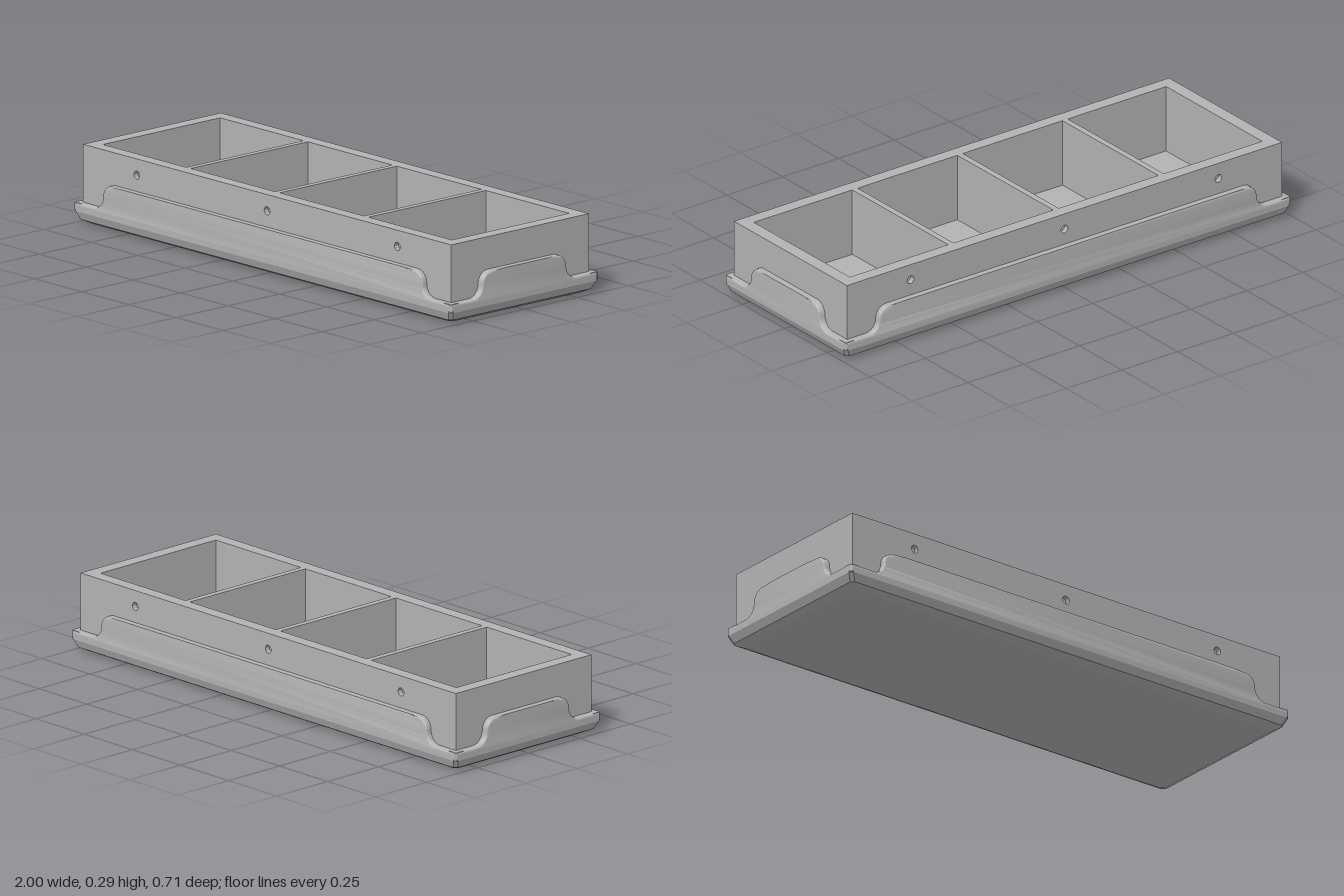
import * as THREE from 'three';
import { toCreasedNormals } from 'three/addons/utils/BufferGeometryUtils.js';

const HX = 1.0, HZ = 0.357;      // half size of the base
const BX = 0.975, BZ = 0.333;    // half size of the box
const TOP = 0.29, FLOOR = 0.035;

function rectPath(Type, x0, y0, x1, y1) {
  const p = new Type();
  p.moveTo(x0, y0);
  p.lineTo(x1, y0);
  p.lineTo(x1, y1);
  p.lineTo(x0, y1);
  p.closePath();
  return p;
}

// Stacked rectangular rings [halfX, y, halfZ] with cut corners
function loft(rings) {
  const pos = [];
  const loop = ([hx, y, hz]) => {
    const c = Math.min(0.012, hx);
    return [
      [hx, y, -hz + c], [hx, y, hz - c], [hx - c, y, hz], [-hx + c, y, hz],
      [-hx, y, hz - c], [-hx, y, -hz + c], [-hx + c, y, -hz], [hx - c, y, -hz],
    ];
  };
  const loops = rings.map(loop);
  for (let i = 0; i < loops.length - 1; i++) {
    for (let j = 0; j < 8; j++) {
      const k = (j + 1) % 8;
      const a = loops[i][j], b = loops[i][k], c = loops[i + 1][j], d = loops[i + 1][k];
      if (rings[i][0] > 0) pos.push(...a, ...c, ...b);
      if (rings[i + 1][0] > 0) pos.push(...b, ...c, ...d);
    }
  }
  const g = new THREE.BufferGeometry();
  g.setAttribute('position', new THREE.Float32BufferAttribute(pos, 3));
  g.computeVertexNormals();
  return g;
}

// Skirt panel: low at the ends, rising in an S-curve to a high middle
function skirtGeometry(half, face) {
  const low = 0.077, high = 0.17, r = (high - low) / 2, b = 0.008, depth = 0.03;
  const h = half - 0.003, xl = half - 0.107, xh = xl - 2 * r, flat = half - 0.25;
  const s = new THREE.Shape();
  s.moveTo(-h, 0.045);
  s.lineTo(h, 0.045);
  s.lineTo(h, low);
  s.lineTo(xl, low);
  s.absarc(xl, low + r, r, -Math.PI / 2, -Math.PI, true);
  s.absarc(xh, low + r, r, 0, Math.PI / 2, false);
  s.lineTo(flat, high);
  s.lineTo(-flat, high);
  s.lineTo(-xh, high);
  s.absarc(-xh, low + r, r, Math.PI / 2, Math.PI, false);
  s.absarc(-xl, low + r, r, 0, -Math.PI / 2, true);
  s.lineTo(-h, low);
  s.closePath();
  const g = new THREE.ExtrudeGeometry(s, {
    depth, bevelEnabled: true, bevelThickness: b, bevelSize: b, bevelOffset: -b,
    bevelSegments: 4, curveSegments: 10,
  });
  // the middle of the top edge stays sharp
  const p = g.attributes.position;
  for (let i = 0; i < p.count; i++) {
    if (Math.abs(p.getX(i)) < flat + 0.01 && p.getY(i) > 0.15) p.setY(i, high);
  }
  g.translate(0, 0, face - b - depth);
  return toCreasedNormals(g, 0.6);
}

export function createModel() {
  const group = new THREE.Group();
  const grey = new THREE.MeshStandardMaterial({ color: 0xb3b3b3 });
  grey.name = 'plain grey';
  const add = (name, geometry) => {
    const m = new THREE.Mesh(geometry, grey);
    m.name = name;
    group.add(m);
    return m;
  };

  // chamfered base with the compartment floor
  add('base', loft([
    [0, 0, 0], [0.955, 0, 0.315], [0.985, 0.015, 0.345], [HX, 0.045, HZ],
    [HX, 0.066, HZ], [HX - 0.006, 0.073, HZ - 0.006], [BX - 0.005, 0.073, BZ - 0.005],
    [BX - 0.01, FLOOR, BZ - 0.01], [0, FLOOR, 0],
  ]));

  // box walls and dividers around four compartments
  const plate = 0.02, core = BZ - plate;
  const walls = rectPath(THREE.Shape, -BX, -core, BX, core);
  for (const [x0, x1] of [[-0.924, -0.483], [-0.459, -0.012], [0.012, 0.459], [0.483, 0.924]]) {
    walls.holes.push(rectPath(THREE.Path, x0, -0.283, x1, 0.283));
  }
  const wallGeo = new THREE.ExtrudeGeometry(walls, { depth: TOP - 0.03, bevelEnabled: false });
  wallGeo.rotateX(-Math.PI / 2).translate(0, 0.03, 0);
  add('compartmentWalls', wallGeo);

  // outer long faces with three blind screw holes each
  const face = rectPath(THREE.Shape, -BX, 0.03, BX, TOP);
  for (const x of [-0.69, 0, 0.69]) {
    face.holes.push(new THREE.Path().absarc(x, 0.23, 0.015, 0, Math.PI * 2, true));
  }
  const faceGeo = toCreasedNormals(
    new THREE.ExtrudeGeometry(face, { depth: plate, bevelEnabled: false, curveSegments: 20 })
      .translate(0, 0, core), 0.6);

  // long and short sides, mirrored by half turns
  const longSkirt = skirtGeometry(HX, HZ), shortSkirt = skirtGeometry(HZ, HX);
  for (const [side, turn] of [['front', 0], ['back', Math.PI]]) {
    add(side + 'Wall', faceGeo).rotation.y = turn;
    add(side + 'Skirt', longSkirt).rotation.y = turn;
  }
  for (const [side, turn] of [['left', Math.PI / 2], ['right', -Math.PI / 2]]) {
    add(side + 'Skirt', shortSkirt).rotation.y = turn;
  }
  return group;
}
